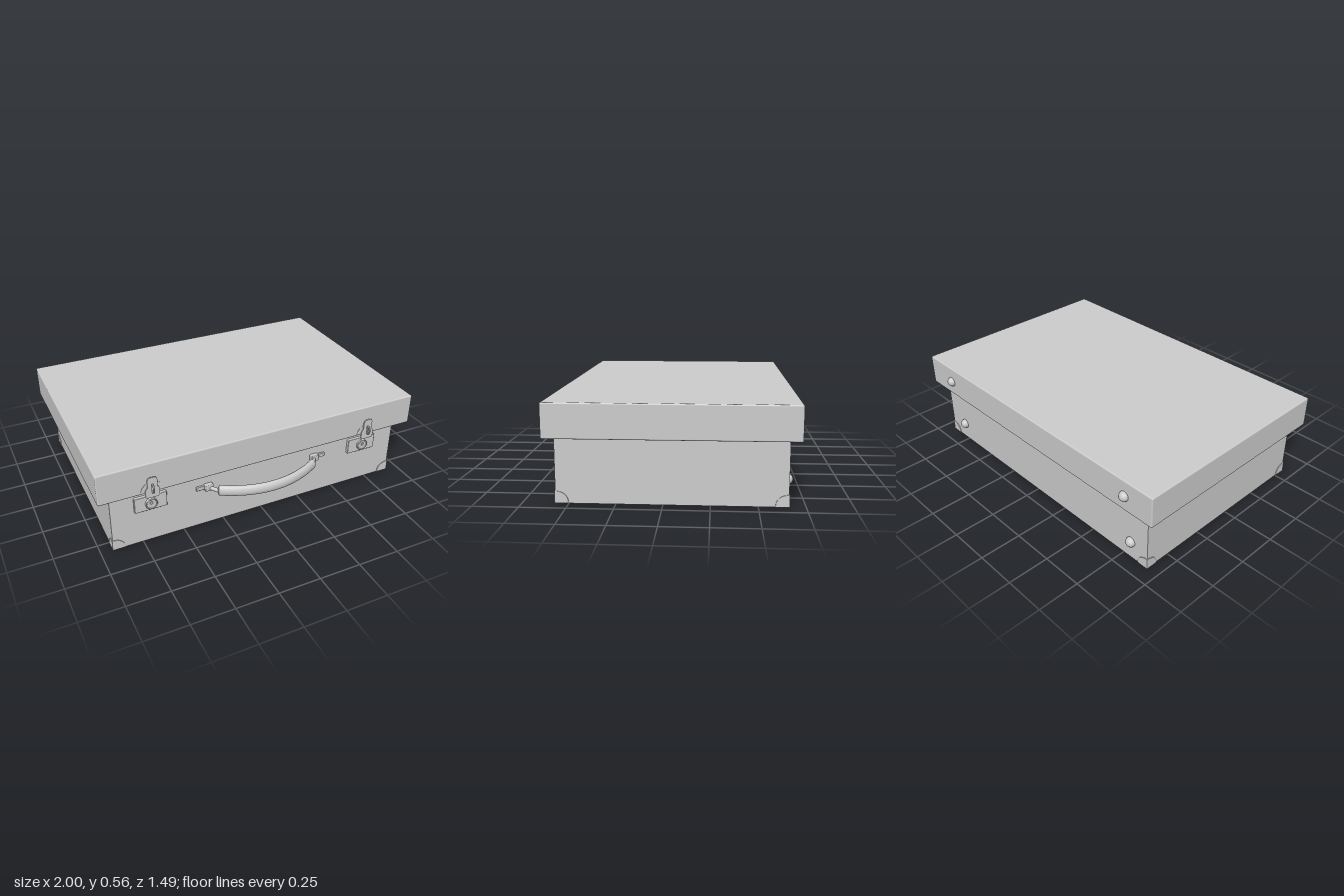
import * as THREE from 'three';
import { RoundedBoxGeometry } from 'three/addons/geometries/RoundedBoxGeometry.js';

const mat = new THREE.MeshStandardMaterial({ color: 0xcccccc, side: THREE.DoubleSide });

function add(parent, name, geometry, x = 0, y = 0, z = 0) {
  const mesh = new THREE.Mesh(geometry, mat);
  mesh.name = name;
  mesh.position.set(x, y, z);
  parent.add(mesh);
  return mesh;
}

const box = (w, h, d) => new THREE.BoxGeometry(w, h, d);
const extrude = (shape, depth, bevel = 0) => new THREE.ExtrudeGeometry(shape, {
  depth, curveSegments: 16, bevelEnabled: bevel > 0, bevelSize: bevel, bevelThickness: bevel, bevelSegments: 2,
});

// Closed rectangle, as a shape or as a hole
function rect(Type, w, h) {
  return new Type().moveTo(-w / 2, -h / 2).lineTo(w / 2, -h / 2)
    .lineTo(w / 2, h / 2).lineTo(-w / 2, h / 2).closePath();
}

// Lock plate on the case, with a hasp hanging from the lid
function makeLatch() {
  const g = new THREE.Group();
  g.name = 'latch';
  add(g, 'lockPlate', new RoundedBoxGeometry(0.19, 0.096, 0.022, 2, 0.004), 0, 0.272, 0.58);
  const barrel = add(g, 'lockBarrel', new THREE.CylinderGeometry(0.03, 0.035, 0.014, 32), 0, 0.272, 0.597);
  barrel.rotation.x = Math.PI / 2;
  add(g, 'lockRim', new THREE.TorusGeometry(0.031, 0.004, 8, 32), 0, 0.272, 0.603);
  add(g, 'keyholeTop', new THREE.TorusGeometry(0.008, 0.0025, 6, 16), 0, 0.279, 0.604);
  add(g, 'keyholeSlot', box(0.008, 0.024, 0.004), 0, 0.262, 0.604);

  // Half-round backing on the lid
  const half = new THREE.Shape().moveTo(0.066, 0).absarc(0, 0, 0.066, 0, Math.PI).closePath();
  add(g, 'haspBacking', extrude(half, 0.006), 0, 0.372, 0.619);

  // Slotted tongue, wider at its foot
  const tongue = new THREE.Shape().moveTo(-0.03, 0.345).lineTo(0.03, 0.345)
    .quadraticCurveTo(0.041, 0.347, 0.041, 0.36).lineTo(0.041, 0.39)
    .quadraticCurveTo(0.039, 0.405, 0.029, 0.41).lineTo(0.029, 0.455)
    .quadraticCurveTo(0.026, 0.475, 0.012, 0.475).lineTo(-0.012, 0.475)
    .quadraticCurveTo(-0.026, 0.475, -0.029, 0.455).lineTo(-0.029, 0.41)
    .quadraticCurveTo(-0.039, 0.405, -0.041, 0.39).lineTo(-0.041, 0.36)
    .quadraticCurveTo(-0.041, 0.347, -0.03, 0.345);
  tongue.holes.push(new THREE.Path().moveTo(-0.005, 0.375).lineTo(-0.005, 0.43)
    .lineTo(0.005, 0.43).lineTo(0.005, 0.375).closePath());
  add(g, 'haspTongue', extrude(tongue, 0.006), 0, -0.004, 0.629);

  // Staple standing through the slot
  const staple = add(g, 'staple', new THREE.TorusGeometry(0.026, 0.005, 8, 32), 0, 0.4, 0.632);
  staple.rotation.y = Math.PI / 2;
  return g;
}

function makeHandle() {
  const g = new THREE.Group();
  g.name = 'handle';
  g.position.y = 0.261;
  // Bowed grip, taller than it is deep
  const path = new THREE.CatmullRomCurve3([-0.305, -0.22, -0.11, 0, 0.11, 0.22, 0.305].map(
    x => new THREE.Vector3(x, 0, 0.724 - 0.088 * (x / 0.305) ** 2)));
  const grip = add(g, 'grip', new THREE.TubeGeometry(path, 48, 0.021, 20));
  grip.scale.y = 1.6;
  for (const s of [-1, 1]) {
    // Shallow cap closing the grip, turned to its end direction
    const cap = add(g, 'gripEnd', new THREE.SphereGeometry(0.021, 20, 12), s * 0.305, 0, 0.636);
    cap.scale.set(0.4, 1.6, 1);
    cap.rotation.y = s * 0.5;
    // Link, bracket and strap fixing the grip to the front wall
    const link = add(g, 'handleLink', new THREE.CylinderGeometry(0.012, 0.012, 0.07, 12), s * 0.328, 0, 0.61);
    link.rotation.set(Math.PI / 2, 0, s * 0.6);
    add(g, 'handleBracket', new RoundedBoxGeometry(0.05, 0.04, 0.03, 2, 0.005), s * 0.348, 0.004, 0.585);
    add(g, 'handleStrap', new RoundedBoxGeometry(0.09, 0.026, 0.014, 2, 0.004), s * 0.378, 0.004, 0.577);
  }
  return g;
}

export function createModel() {
  const root = new THREE.Group();
  root.name = 'suitcase';
  const cx = -0.005, cz = -0.044, W = 1.845, D = 1.232;

  // Thin case walls around a raised floor
  const ring = rect(THREE.Shape, W - 0.004, D - 0.004);
  ring.holes.push(rect(THREE.Path, W - 0.016, D - 0.016));
  const walls = add(root, 'caseWalls', extrude(ring, 0.367, 0.002), cx, 0.002, cz);
  walls.rotation.x = -Math.PI / 2;
  add(root, 'caseFloor', box(W - 0.01, 0.01, D - 0.01), cx, 0.085, cz);

  // Overhanging lid
  add(root, 'lid', new RoundedBoxGeometry(2, 0.19, 1.338, 3, 0.008), 0, 0.461, -0.046);

  // Corner guards: a quarter-round patch on each wall meeting at a corner
  const patch = new THREE.Shape().moveTo(0, 0.003).lineTo(0.07, 0.003)
    .bezierCurveTo(0.072, 0.04, 0.045, 0.065, 0, 0.066).closePath();
  for (const sx of [-1, 1]) for (const sz of [-1, 1]) {
    const guard = new THREE.Group();
    guard.name = 'cornerGuard';
    guard.position.set(cx + sx * (W / 2 + 0.002), 0, cz + sz * (D / 2 + 0.002));
    guard.scale.set(-sx, 1, -sz);
    add(guard, 'guardFace', extrude(patch, 0.004, 0.002));
    const side = add(guard, 'guardSide', extrude(patch, 0.004, 0.002), 0.004, 0, 0);
    side.rotation.y = -Math.PI / 2;
    root.add(guard);
  }

  // Latches and handle on the front
  for (const x of [-0.697, 0.682]) {
    const latch = makeLatch();
    latch.position.x = x;
    root.add(latch);
  }
  root.add(makeHandle());

  // Domed studs on the back of lid and case
  for (const x of [-0.805, 0.77]) {
    add(root, 'lidStud', new THREE.SphereGeometry(0.03, 24, 16), x, 0.46, -0.715);
    add(root, 'caseStud', new THREE.SphereGeometry(0.03, 24, 16), x, 0.113, -0.662);
  }
  return root;
}
